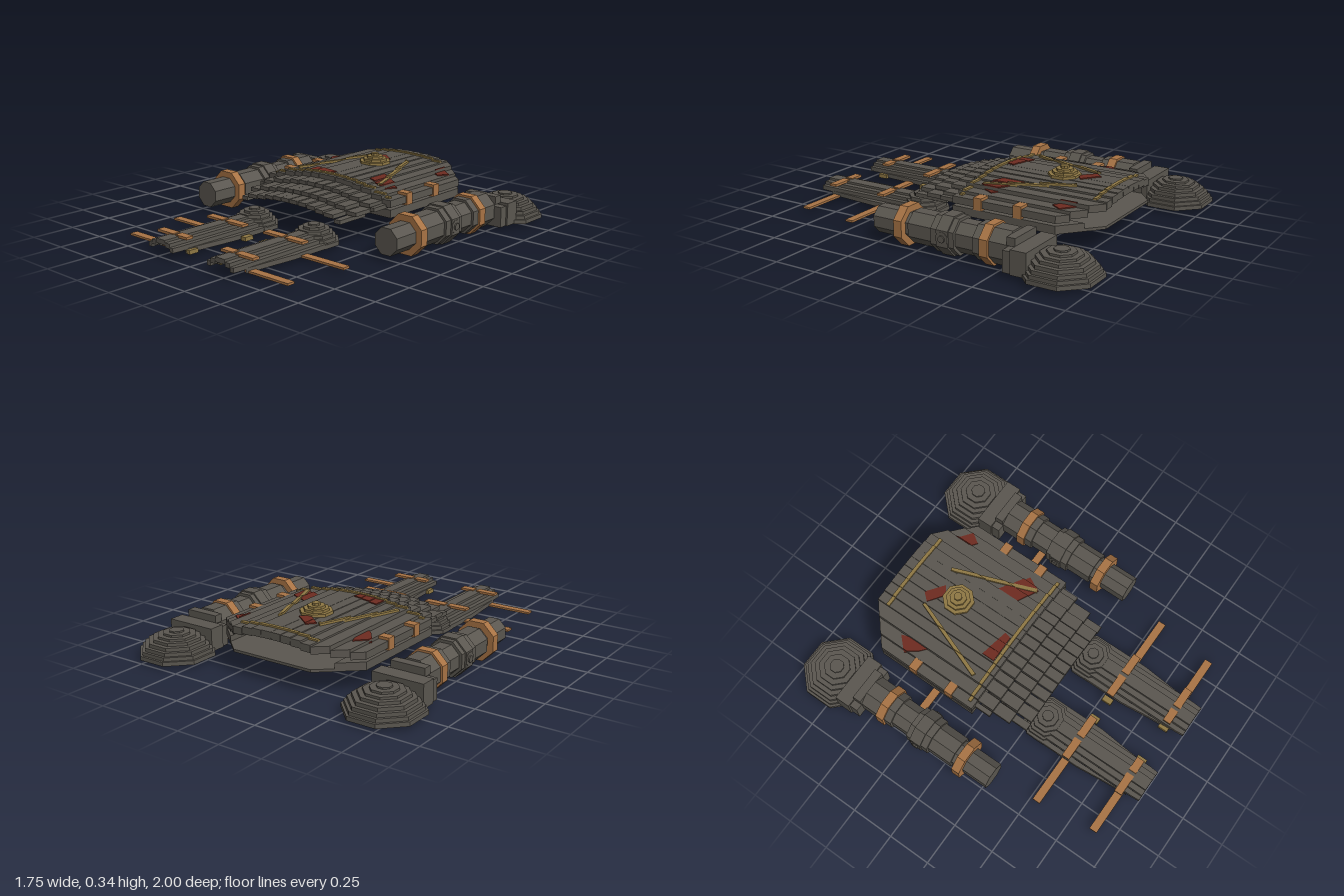
import * as THREE from 'three';

const mat = (name, color) => {
  const m = new THREE.MeshStandardMaterial({ color });
  m.name = name;
  return m;
};

export function createModel() {
  const model = new THREE.Group();
  model.name = 'armourSet';
  const iron = mat('dark iron', 0x5b5750);
  const leather = mat('tan leather', 0xa97445);
  const brass = mat('dull brass', 0x8f7844);
  const red = mat('red patch', 0x6e2b20);

  const group = (name, parent = model) => {
    const g = new THREE.Group();
    g.name = name;
    parent.add(g);
    return g;
  };
  const add = (parent, name, geo, material) => {
    const mesh = new THREE.Mesh(geo, material);
    mesh.name = name;
    parent.add(mesh);
    return mesh;
  };
  // box given by its limits
  const box = (parent, name, m, x0, x1, y0, y1, z0, z1) =>
    add(parent, name, new THREE.BoxGeometry(x1 - x0, y1 - y0, z1 - z0), m)
      .position.set((x0 + x1) / 2, (y0 + y1) / 2, (z0 + z1) / 2);
  // horizontal slab from an [x, z] outline
  const slab = (parent, name, m, pts, y0, y1) => {
    const shape = new THREE.Shape(pts.map(([x, z]) => new THREE.Vector2(x, -z)));
    const geo = new THREE.ExtrudeGeometry(shape, { depth: y1 - y0, bevelEnabled: false });
    geo.rotateX(-Math.PI / 2).translate(0, y0, 0);
    return add(parent, name, geo, m);
  };
  // flat-faced octagonal prism; r is measured to the flats
  const octagon = (r0, r1, h) => {
    const k = 1 / Math.cos(Math.PI / 8);
    const geo = new THREE.CylinderGeometry(r1 * k, r0 * k, h, 8, 1, false, Math.PI / 8).toNonIndexed();
    geo.computeVertexNormals();
    return geo;
  };
  const octUp = (parent, name, m, x, z, y0, y1, r) =>
    add(parent, name, octagon(r, r, y1 - y0), m).position.set(x, (y0 + y1) / 2, z);
  const octAlong = (parent, name, m, x, y, z0, z1, r) =>
    add(parent, name, octagon(r, r, z1 - z0).rotateX(Math.PI / 2), m).position.set(x, y, (z0 + z1) / 2);
  // keeps the part of an outline between x = a and x = b
  const cut = (pts, limit, sign) => pts.flatMap((p, i) => {
    const q = pts[(i + 1) % pts.length];
    const dp = (p[0] - limit) * sign, dq = (q[0] - limit) * sign;
    const out = dp >= 0 ? [p] : [];
    if (dp * dq < 0) out.push([limit, p[1] + (q[1] - p[1]) * dp / (dp - dq)]);
    return out;
  });
  const clip = (pts, a, b) => cut(cut(pts, a, 1), b, -1);

  // planks of the arched breastplate: [inner x, outer x, top y]
  const half = [[0, 0.063, 0.285], [0.063, 0.125, 0.283], [0.125, 0.19, 0.278], [0.19, 0.25, 0.268],
    [0.25, 0.325, 0.26], [0.325, 0.4, 0.238], [0.4, 0.46, 0.222]];
  const planks = [...half, ...half.map(([a, b, y]) => [-b, -a, y])];
  const arch = (parent, name, m, pts, offset, thick, gap = 0) => planks.forEach(([a, b, y]) => {
    const part = clip(pts, a + gap, b - gap);
    if (part.length > 2) slab(parent, name, m, part, y + offset - thick, y + offset);
  });
  const rect = (x0, x1, z0, z1) => [[x0, z0], [x1, z0], [x1, z1], [x0, z1]];

  // breastplate
  const chest = group('chest');
  const outline = [[-0.25, -0.82], [0.25, -0.82], [0.46, -0.64], [0.46, -0.02],
    [-0.46, -0.02], [-0.46, -0.64]];
  arch(chest, 'chestPlank', iron, outline, 0, 0.04, 0.001);
  slab(chest, 'backPlate', iron, outline, 0.125, 0.14);
  slab(chest, 'sidePlankLeft', iron, clip(outline, 0.34, 0.46), 0.14, 0.17);
  slab(chest, 'sidePlankRight', iron, clip(outline, -0.46, -0.34), 0.14, 0.17);

  // brass trim and red patches following the planks
  arch(chest, 'lowerTrim', brass, rect(-0.43, 0.43, -0.065, -0.045), 0.009, 0.009);
  arch(chest, 'neckTrim', brass, rect(-0.25, 0.25, -0.76, -0.74), 0.009, 0.009);
  for (const s of [1, -1]) {
    arch(chest, 'diagonalTrim', brass,
      [[s * 0.12, -0.58], [s * 0.137, -0.59], [s * 0.315, -0.12], [s * 0.295, -0.11]], 0.012, 0.012);
  }
  [
    [[-0.41, -0.52], [-0.34, -0.59], [-0.325, -0.55], [-0.325, -0.42], [-0.36, -0.45]],
    [[-0.11, -0.58], [-0.07, -0.625], [0.03, -0.55], [-0.02, -0.515]],
    [[0.32, -0.69], [0.40, -0.63], [0.36, -0.57], [0.32, -0.6]],
    [[0.19, -0.3], [0.36, -0.2], [0.31, -0.11], [0.19, -0.17]],
    [[-0.18, -0.145], [-0.01, -0.11], [-0.02, -0.07], [-0.18, -0.07]],
  ].forEach((p) => arch(chest, 'redPatch', red, p, 0.006, 0.006));

  // stepped central boss
  [0.085, 0.065, 0.045, 0.022].forEach((r, i) =>
    octUp(chest, 'boss', brass, 0, -0.44, 0.283 + i * 0.014, 0.299 + i * 0.014, r));

  // waist tiers
  const waist = group('waist');
  [[0.43, -0.1, 0.08], [0.40, 0, 0.19], [0.37, 0.08, 0.285]].forEach(([w, z0, z1], i) =>
    arch(waist, 'waistPlank', iron, rect(-w, w, z0, z1), -0.026 * (i + 1), 0.022, 0.003));

  for (const s of [1, -1]) {
    const side = s > 0 ? 'left' : 'right';
    const span = (a, b) => (s > 0 ? [a, b] : [-b, -a]);

    // chest side straps
    for (const z of [-0.42, -0.18]) {
      box(chest, 'sideStrap', leather, ...span(0.39, 0.465), 0.17, 0.237, z - 0.025, z + 0.025);
    }

    // arm
    const arm = group(side + 'Arm');
    const ax = s * 0.675, ay = 0.11;
    [[0.28, 0.05, 0.072], [0.05, -0.1, 0.085], [-0.1, -0.24, 0.098], [-0.24, -0.35, 0.082],
      [-0.35, -0.55, 0.095]].forEach(([z1, z0, r]) => octAlong(arm, 'armPlate', iron, ax, ay, z0, z1, r));
    octAlong(arm, 'elbowRidge', iron, ax, ay, -0.21, -0.14, 0.106);
    for (const z of [0.1, -0.42]) octAlong(arm, 'armBand', leather, ax, ay, z - 0.025, z + 0.025, 0.107);
    for (const d of [1, -1]) {
      for (const [r, x] of [[0.035, 0.108], [0.018, 0.116]]) {
        add(arm, 'elbowStud', octagon(r, r, 0.02).rotateZ(Math.PI / 2), iron).position.set(ax + d * (x - 0.01), ay, -0.175);
      }
    }
    box(arm, 'shoulderCollar', iron, ax - 0.15, ax + 0.15, 0.025, 0.155, -0.69, -0.6);
    box(arm, 'shoulderCollar', iron, ax - 0.14, ax + 0.14, 0.025, 0.14, -0.6, -0.55);
    box(arm, 'collarTop', iron, ax - 0.1, ax + 0.1, 0.15, 0.195, -0.6, -0.55);

    // stepped shoulder dome
    [[0.198, 0.045], [0.185, 0.065], [0.17, 0.085], [0.15, 0.105], [0.125, 0.122], [0.1, 0.135],
      [0.07, 0.147], [0.038, 0.156]].forEach(([r, y]) =>
      octUp(arm, 'shoulderDome', iron, ax, -0.8, 0.022, y, r));
    box(arm, 'armStrap', leather, ...span(0.42, 0.62), 0.022, 0.032, -0.31, -0.265);

    // leg: stepped knee and tapering planks
    const leg = group(side + 'Leg');
    const lx = s * 0.225;
    [[0.13, 0.045], [0.115, 0.065], [0.1, 0.085], [0.082, 0.105], [0.058, 0.12], [0.03, 0.13]].forEach(([r, y]) =>
      octUp(leg, 'kneeDome', iron, lx, 0.33, 0.022, y, r));
    const shin = [[-0.13, 0.36], [0.13, 0.36], [0.13, 0.6], [0.112, 0.78], [0.095, 1],
      [-0.095, 1], [-0.112, 0.78], [-0.13, 0.6]];
    [[-0.13, -0.1, 0.05], [-0.1, -0.07, 0.07], [-0.07, -0.035, 0.088], [-0.035, 0.035, 0.1],
      [0.035, 0.07, 0.088], [0.07, 0.1, 0.07], [0.1, 0.13, 0.05]].forEach(([a, b, y]) => {
      slab(leg, 'shinPlank', iron, clip(shin, a + 0.001, b - 0.001), y - 0.026, y).position.x = lx;
    });

    // leg straps: band over the shin, loose end outside, buckle inside
    [[0.54, 0.05, 0.64], [0.885, 0.1, 0.595]].forEach(([z, inner, outer]) => {
      const z0 = z - 0.023, z1 = z + 0.023;
      box(leg, 'shinBand', leather, ...span(inner + 0.03, 0.215), 0.092, 0.106, z0, z1);
      box(leg, 'shinBand', leather, ...span(0.235, 0.36), 0.092, 0.106, z0, z1);
      box(leg, 'strapEnd', leather, ...span(0.3, outer), 0.022, 0.034, z0, z1);
      box(leg, 'buckle', brass, ...span(inner, inner + 0.035), 0.022, 0.045, z0 - 0.006, z1 + 0.006);
    });
  }
  return model;
}
